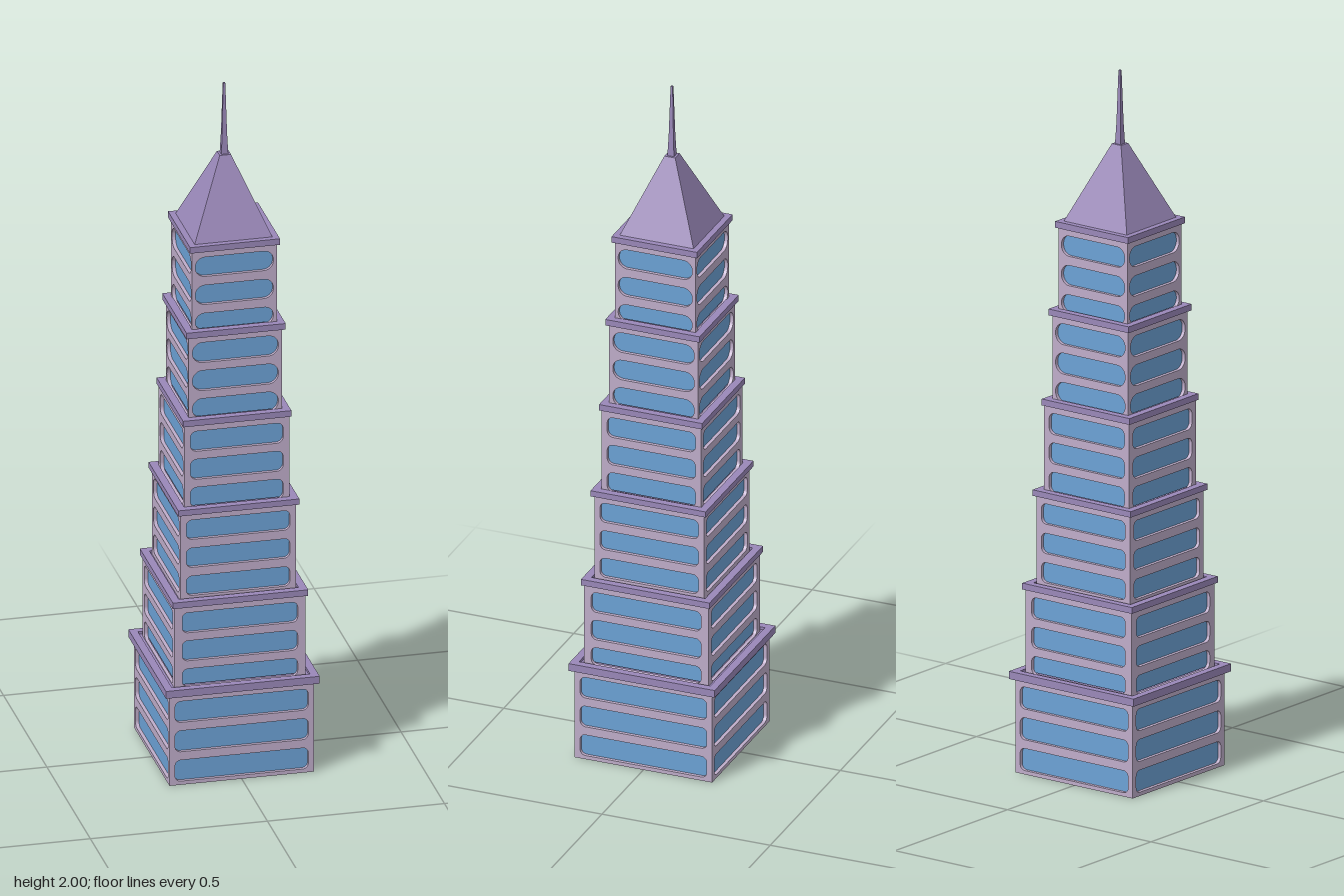
import * as THREE from 'three';

const wallMat = new THREE.MeshStandardMaterial({ color: 0xbfadca });
wallMat.name = 'pale mauve wall';
const trimMat = new THREE.MeshStandardMaterial({ color: 0x9a88b9 });
trimMat.name = 'purple trim';
const glassMat = new THREE.MeshStandardMaterial({ color: 0x6ca2d6 });
glassMat.name = 'blue glass';

const WALL = 0.01; // wall thickness, also the depth of the window recess

// bottom, ledge bottom, ledge top, wall half, ledge half, window half, window height, window pitch, corner radius
const TIERS = [
  [0, 0.268, 0.29, 0.204, 0.217, 0.188, 0.063, 0.088, 0.016],
  [0.282, 0.523, 0.541, 0.185, 0.191, 0.163, 0.06, 0.084, 0.016],
  [0.533, 0.79, 0.807, 0.163, 0.171, 0.146, 0.058, 0.084, 0.016],
  [0.799, 1.048, 1.066, 0.148, 0.153, 0.131, 0.06, 0.084, 0.018],
  [1.058, 1.305, 1.323, 0.132, 0.14, 0.121, 0.06, 0.084, 0.028],
  [1.315, 1.555, 1.573, 0.12, 0.127, 0.11, 0.058, 0.084, 0.027],
];

function mesh(name, geometry, material, y = 0) {
  const m = new THREE.Mesh(geometry, material);
  m.name = name;
  m.position.y = y;
  return m;
}

function rect(path, x0, y0, x1, y1) {
  path.moveTo(x0, y0).lineTo(x1, y0);
  path.lineTo(x1, y1).lineTo(x0, y1);
  path.closePath();
  return path;
}

function roundedRect(x0, y0, x1, y1, r) {
  const p = new THREE.Path();
  p.moveTo(x0 + r, y0);
  p.absarc(x1 - r, y0 + r, r, -Math.PI / 2, 0);
  p.absarc(x1 - r, y1 - r, r, 0, Math.PI / 2);
  p.absarc(x0 + r, y1 - r, r, Math.PI / 2, Math.PI);
  p.absarc(x0 + r, y0 + r, r, Math.PI, Math.PI * 1.5);
  p.closePath();
  return p;
}

// Square tapered block standing on y = y0
function frustum(name, bottom, top, y0, y1) {
  const g = new THREE.CylinderGeometry(top * Math.SQRT2, bottom * Math.SQRT2, y1 - y0, 4, 1).toNonIndexed();
  g.rotateY(Math.PI / 4);
  g.computeVertexNormals();
  return mesh(name, g, trimMat, (y0 + y1) / 2);
}

// Raised square rim around the top of a tier
function ledge(half, y0, y1) {
  const shape = rect(new THREE.Shape(), -half, -half, half, half);
  const inner = half - 0.022;
  shape.holes.push(rect(new THREE.Path(), -inner, -inner, inner, inner));
  const g = new THREE.ExtrudeGeometry(shape, { depth: y1 - y0, bevelEnabled: false });
  g.rotateX(-Math.PI / 2);
  return mesh('ledge', g, trimMat, y0);
}

function tier([y0, y1, y2, half, ledgeHalf, winHalf, winH, pitch, radius]) {
  const group = new THREE.Group();
  const roofY = y2 - 0.008;

  // Glass core seen through the window openings
  const core = 2 * (half - WALL);
  group.add(mesh('windowGlass', new THREE.BoxGeometry(core, y1 - y0 - 0.01, core), glassMat, (y0 + y1) / 2));

  // Four walls, each with three rounded window openings
  for (let side = 0; side < 4; side++) {
    const w = side % 2 ? half - WALL : half;
    const shape = rect(new THREE.Shape(), -w, y0, w, roofY - 0.004);
    for (let i = 0; i < 3; i++) {
      const top = y1 - 0.018 - i * pitch;
      const bottom = Math.max(top - winH, y0 + 0.002);
      const r = Math.min(radius, (top - bottom) / 2 - 0.0005);
      shape.holes.push(roundedRect(-winHalf, bottom, winHalf, top, r));
    }
    const g = new THREE.ExtrudeGeometry(shape, { depth: WALL, bevelEnabled: false, curveSegments: 5 });
    g.translate(0, 0, half - WALL);
    g.rotateY(side * Math.PI / 2);
    group.add(mesh('wall', g, wallMat));
  }

  // Terrace floor inside the ledge
  const floor = 2 * (ledgeHalf - 0.012);
  group.add(mesh('terrace', new THREE.BoxGeometry(floor, 0.008, floor), trimMat, roofY - 0.004));
  group.add(ledge(ledgeHalf, y1, y2));
  return group;
}

export function createModel() {
  const model = new THREE.Group();
  model.name = 'tower';

  TIERS.forEach((spec, i) => {
    const t = tier(spec);
    t.name = 'tier' + (i + 1);
    model.add(t);
  });

  // Underside slab
  const base = 2 * (0.204 - WALL);
  model.add(mesh('baseSlab', new THREE.BoxGeometry(base, 0.012, base), wallMat, 0.006));

  // Pyramid roof and stepped spire
  model.add(frustum('roof', 0.114, 0.016, 1.563, 1.79));
  model.add(frustum('spireBase', 0.01, 0.007, 1.785, 1.85));
  model.add(frustum('spire', 0.007, 0.003, 1.85, 2));
  return model;
}
